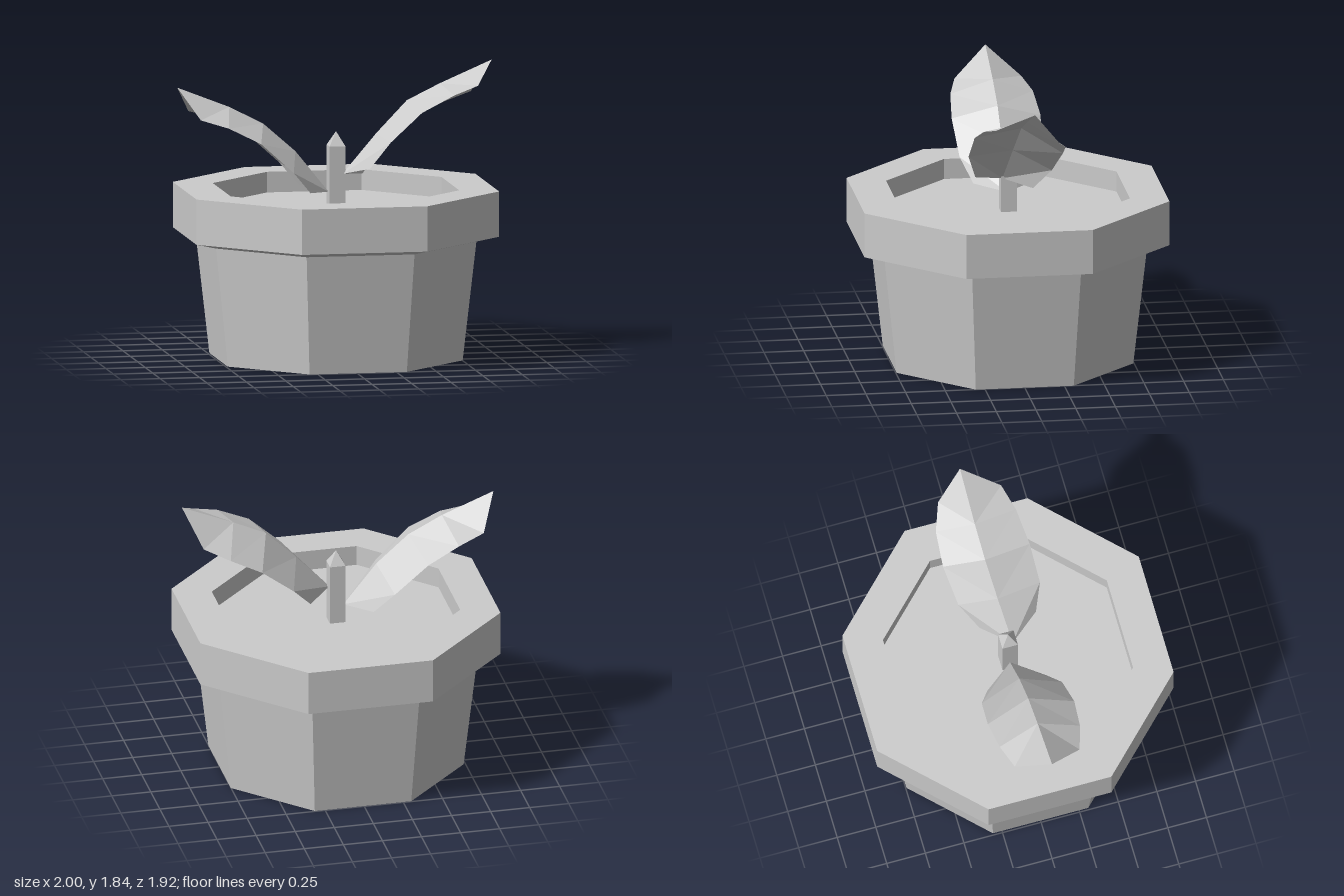
import * as THREE from 'three';

const grey = new THREE.MeshStandardMaterial({ color: 0xcccccc, flatShading: true });
const thin = new THREE.MeshStandardMaterial({ color: 0xcccccc, flatShading: true, side: THREE.DoubleSide });

// Faceted solid of revolution; profile is [distance to the flat side, height]
function prism(name, profile, sides) {
  const k = 1 / Math.cos(Math.PI / sides);
  const points = profile.map(([r, y]) => new THREE.Vector2(r * k, y));
  const mesh = new THREE.Mesh(new THREE.LatheGeometry(points, sides, Math.PI / sides), grey);
  mesh.name = name;
  return mesh;
}

// Folded leaf: a 5-point midrib (base to tip) with a 5-point edge on each side
function leaf(name, rib, edgeA, edgeB) {
  const positions = [];
  for (const edge of [edgeA, edgeB]) {
    for (let i = 0; i < 4; i++) {
      const [a, b, c, d] = [rib[i], rib[i + 1], edge[i + 1], edge[i]];
      const corners = edge === edgeA ? [a, d, c, a, c, b] : [a, c, d, a, b, c];
      positions.push(...corners.flat());
    }
  }
  // Keep the upper side as the front face
  if (rib[4][0] < 0) {
    for (let i = 0; i < positions.length; i += 9) {
      const second = positions.slice(i + 3, i + 6);
      positions.splice(i + 3, 6, ...positions.slice(i + 6, i + 9), ...second);
    }
  }
  const geometry = new THREE.BufferGeometry();
  geometry.setAttribute('position', new THREE.Float32BufferAttribute(positions, 3));
  geometry.computeVertexNormals();
  const mesh = new THREE.Mesh(geometry, thin);
  mesh.name = name;
  return mesh;
}

export function createModel() {
  const group = new THREE.Group();
  group.name = 'pottedSprout';

  // Octagonal pot with an overhanging rim, and the soil sunk inside it
  const pot = prism('pot', [
    [0, 0], [0.745, 0], [0.826, 0.75], [0.96, 0.785], [0.96, 1.07], [0.725, 1.07], [0.725, 0.94],
  ], 8);
  const soil = prism('soil', [[0.725, 0.94], [0, 0.94]], 8);

  // Square stem with a pointed tip
  const stem = prism('stem', [[0, 0.94], [0.05, 0.94], [0.05, 1.33], [0, 1.42]], 4);
  for (const part of [pot, soil, stem]) part.position.x = 0.007;

  // Right leaf, symmetric about its midrib
  const edge = [[-0.19, 1.06, 0.19], [-0.31, 1.2, 0.26], [-0.52, 1.39, 0.28], [-0.72, 1.49, 0.26], [-0.89, 1.54, 0.21]];
  const rightLeaf = leaf('rightLeaf',
    [[-0.04, 1.04, 0], [-0.25, 1.3, 0], [-0.455, 1.48, 0], [-0.67, 1.59, 0], [-1, 1.72, 0]],
    edge, edge.map(([x, y, z]) => [x, y, -z]));

  // Left leaf, higher and slightly twisted
  const leftLeaf = leaf('leftLeaf',
    [[0.04, 1.155, 0.04], [0.26, 1.4, 0.005], [0.46, 1.6, -0.02], [0.67, 1.7, -0.027], [1, 1.84, -0.03]],
    [[0.18, 1.21, 0.23], [0.3, 1.38, 0.29], [0.5, 1.56, 0.28], [0.71, 1.66, 0.25], [0.87, 1.71, 0.2]],
    [[0.2, 1.13, -0.13], [0.33, 1.28, -0.23], [0.54, 1.45, -0.27], [0.74, 1.55, -0.26], [0.9, 1.62, -0.2]]);

  group.add(pot, soil, stem, rightLeaf, leftLeaf);
  return group;
}
